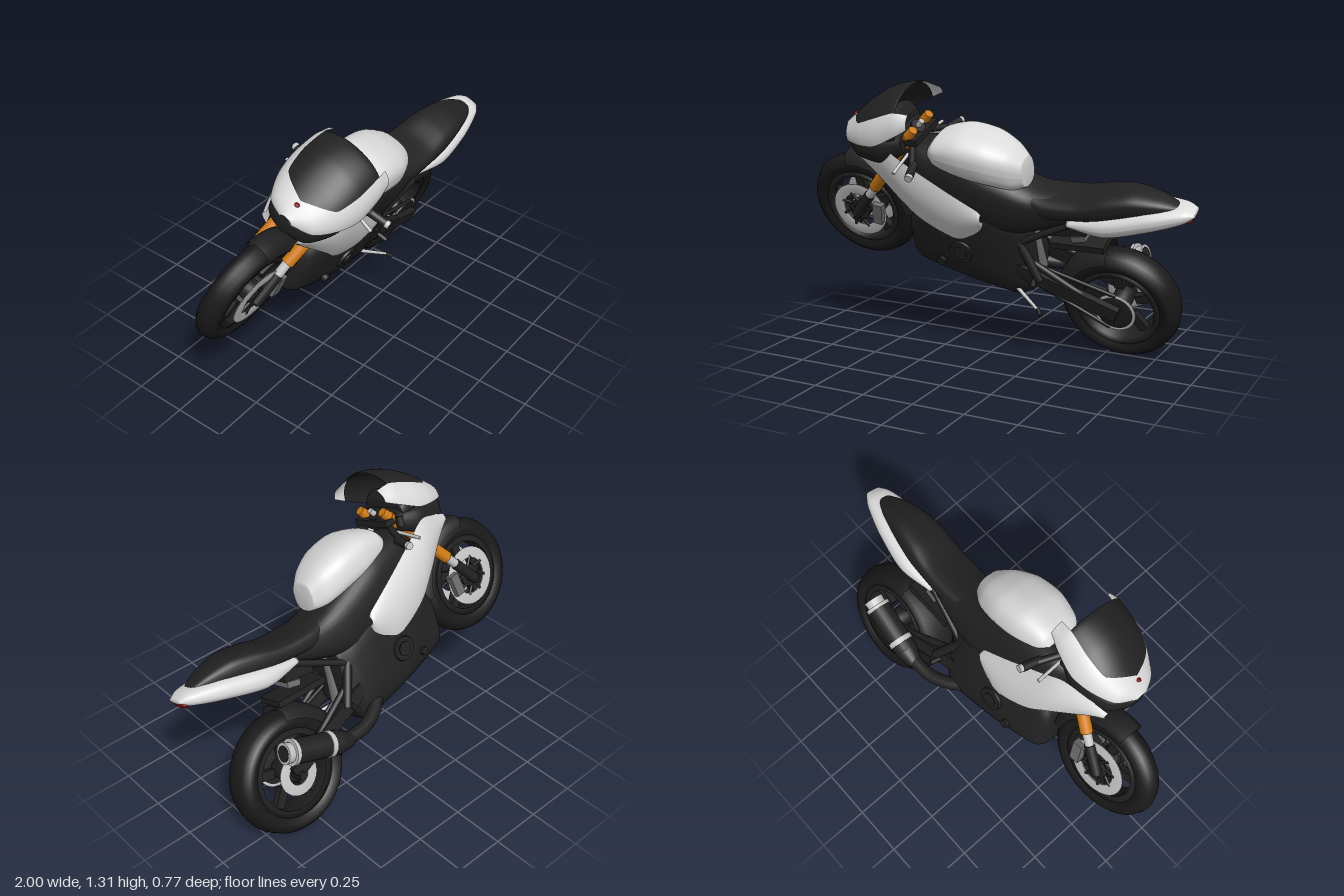
import * as THREE from 'three';

const mat = (name, color) => {
  const m = new THREE.MeshStandardMaterial({ color, side: THREE.DoubleSide });
  m.name = name;
  return m;
};

export function createModel() {
  const white = mat('pearl white', 0xdadada), black = mat('black plastic', 0x212121);
  const rubber = mat('tyre rubber', 0x191919), silver = mat('silver metal', 0xc4c4c4);
  const grey = mat('grey metal', 0x6c6c6c), orange = mat('orange anodised', 0xd07a12);
  const red = mat('red lens', 0x8c0808);

  // bike coordinates: -x forward, y up, z to the rider's left; leaned over at the end
  const bike = new THREE.Group();
  bike.name = 'leaningBike';
  const add = (name, geo, m, parent = bike) => {
    const mesh = new THREE.Mesh(geo, m);
    mesh.name = name;
    parent.add(mesh);
    return mesh;
  };
  const box = (name, size, at, turn, m) => {
    const mesh = add(name, new THREE.BoxGeometry(...size), m);
    mesh.position.set(...at);
    mesh.rotation.z = turn;
  };

  // grid surface from a point function
  function grid(nu, nv, fn) {
    const pos = [], idx = [];
    for (let i = 0; i <= nu; i++) for (let j = 0; j <= nv; j++) pos.push(...fn(i / nu, j / nv));
    for (let i = 0; i < nu; i++) for (let j = 0; j < nv; j++) {
      const a = i * (nv + 1) + j, b = a + nv + 1;
      idx.push(a, b, a + 1, b, b + 1, a + 1);
    }
    const g = new THREE.BufferGeometry();
    g.setAttribute('position', new THREE.Float32BufferAttribute(pos, 3));
    g.setIndex(idx);
    g.computeVertexNormals();
    return g;
  }

  // loft of rounded sections [x, low, high, halfWidth]; a0 and a1 give the part of the turn at t
  function loft(sections, { a0 = () => 0, a1 = () => 360, t0 = 0, t1 = 1, p = 0.7, cap = true, inset = 0, shift = 0 } = {}) {
    const c1 = new THREE.CatmullRomCurve3(sections.map(s => new THREE.Vector3(s[0], s[1], s[2])), false, 'catmullrom', 0.4);
    const c2 = new THREE.CatmullRomCurve3(sections.map(s => new THREE.Vector3(s[0], s[3], 0)), false, 'catmullrom', 0.4);
    const pw = v => Math.sign(v) * Math.abs(v) ** p;
    const n = 40;
    return grid(n, 36, (u, v) => {
      const i = Math.round(u * n);
      const k = cap ? THREE.MathUtils.clamp((i - 1) / (n - 2), 0, 1) : u;
      const t = t0 + (t1 - t0) * k, A = c1.getPoint(t), w = c2.getPoint(t).y;
      const f = cap && (i === 0 || i === n) ? 0 : 1;
      const a = THREE.MathUtils.degToRad(a0(t) + (a1(t) - a0(t)) * v);
      return [A.x, (A.y + A.z) / 2 + f * ((A.z - A.y) / 2 - inset) * pw(Math.sin(a)),
        shift + f * (w - inset) * pw(Math.cos(a))];
    });
  }

  // lathe about the wheel axis; profile points are [radius, side]
  function spin(points, from = 0, to = 360) {
    return new THREE.LatheGeometry(points.map(q => new THREE.Vector2(q[0], q[1])), 64,
      THREE.MathUtils.degToRad(from + 90), THREE.MathUtils.degToRad(to - from)).rotateX(Math.PI / 2);
  }
  const ring = (r0, r1, z, h) => spin([[r0, z - h], [r1, z - h], [r1, z + h], [r0, z + h], [r0, z - h]]);

  // tapered rod between two points
  function rod(name, a, b, r, m, r2 = r, parent = bike) {
    const A = new THREE.Vector3(...a), B = new THREE.Vector3(...b), d = B.clone().sub(A);
    const mesh = add(name, new THREE.CylinderGeometry(r2, r, d.length(), 20), m, parent);
    mesh.position.copy(A).add(B).multiplyScalar(0.5);
    mesh.quaternion.setFromUnitVectors(new THREE.Vector3(0, 1, 0), d.normalize());
  }

  // wheels
  function wheel(name, x, y, z, R, w) {
    const g = new THREE.Group();
    g.name = name;
    g.position.set(x, y, z);
    bike.add(g);
    add('tyre', spin([[R - 0.085, -w * 0.8], [R - 0.06, -w], [R - 0.035, -w * 0.95], [R - 0.012, -w * 0.6], [R, 0],
      [R - 0.012, w * 0.6], [R - 0.035, w * 0.95], [R - 0.06, w], [R - 0.085, w * 0.8]]), rubber, g);
    add('rim', ring(R - 0.115, R - 0.08, 0, w * 0.75), black, g);
    add('hub', ring(0.012, 0.05, 0, w * 0.7), black, g);
    for (let i = 0; i < 5; i++) {
      const s = add('spoke', new THREE.BoxGeometry(R - 0.13, 0.045, 0.035).translate((R + 0.03) / 2, 0, 0), black, g);
      s.rotation.z = i * Math.PI * 0.4 + 0.3;
    }
    return g;
  }
  const front = wheel('frontWheel', -0.715, 0.72, 0, 0.285, 0.056);
  const rear = wheel('rearWheel', 0.585, 0.298, -0.018, 0.293, 0.083);

  // brake discs, carriers and sprocket
  for (const z of [-0.068, 0.068]) {
    add('frontBrakeDisc', ring(0.09, 0.145, z, 0.004), silver, front);
    add('discCarrier', ring(0.03, 0.055, z, 0.006), black, front);
    for (let i = 0; i < 8; i++) {
      const a = i * Math.PI / 4;
      rod('discArm', [0.05 * Math.cos(a), 0.05 * Math.sin(a), z], [0.1 * Math.cos(a + 0.3), 0.1 * Math.sin(a + 0.3), z], 0.008, black, 0.008, front);
    }
  }
  add('rearBrakeDisc', ring(0.05, 0.1, -0.088, 0.004), silver, rear);
  add('sprocket', ring(0.086, 0.1, 0.095, 0.004), silver, rear);
  add('sprocketCarrier', ring(0.02, 0.086, 0.095, 0.006), black, rear);
  rod('rearAxle', [0, 0, -0.13], [0, 0, 0.14], 0.02, black, 0.02, rear);
  rod('frontAxle', [0, 0, -0.1], [0, 0, 0.1], 0.016, black, 0.016, front);

  // mudguards
  const guard = (R, w) => [[R - 0.06, -w], [R - 0.02, -w * 0.9], [R, -w * 0.4], [R, w * 0.4], [R - 0.02, w * 0.9], [R - 0.06, w]];
  add('frontMudguard', spin(guard(0.308, 0.064), -3, 95), black).position.copy(front.position);
  add('rearMudguard', spin(guard(0.315, 0.09), 94, 168), black).position.copy(rear.position);
  box('mudguardPlate', [0.27, 0.03, 0.14], [0.425, 0.63, -0.01], 0, black);

  // forks, calipers, clip-on bars and levers
  const along = (t, z) => [-0.715 + 0.435 * t, 0.72 + 0.5 * t, z];
  for (const s of [-1, 1]) {
    const z = 0.08 * s, o = 0.02;
    rod('forkFoot', along(-0.04, z), along(0.2, z), 0.026, black);
    rod('forkSlider', along(0.17, z), along(0.32, z), 0.022, silver);
    rod('forkTube', along(0.3, z), along(0.93, z + o), 0.03, orange);
    rod('forkCap', along(0.92, z + o), along(1.0, z + o), 0.027, orange, 0.022);
    box('brakeCaliper', [0.05, 0.11, 0.04], [-0.6, 0.72, 0.08 * s], -0.2, grey);
    rod('clipOnBar', [-0.3, 1.13, 0.09 * s + o], [-0.255, 1.095, 0.19 * s + o], 0.016, black);
    rod('grip', [-0.255, 1.095, 0.17 * s + o], [-0.235, 1.085, 0.262 * s + o], 0.02, black);
    rod('barEnd', [-0.235, 1.085, 0.26 * s + o], [-0.231, 1.083, 0.28 * s + o], 0.018, silver);
    rod('lever', [-0.315, 1.11, 0.11 * s + o], [-0.325, 1.085, 0.25 * s + o], 0.008, silver);
    rod('reservoir', [-0.34, 1.13, 0.12 * s + o], [-0.34, 1.18, 0.12 * s + o], 0.02, black);
  }
  box('topYoke', [0.09, 0.03, 0.22], [-0.305, 1.165, 0.02], 0, black);
  rod('steeringStem', along(0.55, 0), along(0.96, 0.02), 0.035, black);
  rod('ignitionLock', along(0.95, 0.02), along(1.01, 0.02), 0.014, silver);

  // nose cowl: white shell with dark screen, lined in black (low edge is mirrored below the rim)
  const cowl = [[-0.67, 1.19, 1.21, 0.03], [-0.62, 1.175, 1.25, 0.12], [-0.52, 1.185, 1.325, 0.18],
    [-0.42, 1.2, 1.38, 0.205], [-0.31, 1.25, 1.405, 0.2], [-0.24, 1.285, 1.37, 0.185]]
    .map(([x, b, h, w]) => [x, 2 * b - h, h, w]);
  const arc = (a0, a1, t0, t1, inset = 0) => loft(cowl, { a0, a1, t0, t1, inset, cap: false, p: 0.95, shift: 0.032 });
  const rim = t => 40 + 50 * THREE.MathUtils.clamp(1 - (t - 0.25) / 0.16, 0, 1) ** 2;
  add('cowlLeft', arc(() => 0, rim, 0, 1), white);
  add('cowlRight', arc(t => 180 - rim(t), () => 180, 0, 1), white);
  add('windscreen', arc(rim, t => 180 - rim(t), 0.25, 0.83), black);
  add('cowlLining', arc(() => 0, () => 180, 0.1, 0.82, 0.008), black);
  add('headlight', loft([[-0.665, 1.12, 1.19, 0.04], [-0.6, 1.06, 1.19, 0.12], [-0.45, 1.045, 1.21, 0.165],
    [-0.33, 1.1, 1.21, 0.14]], { shift: 0.025 }), black);
  add('dashboard', loft([[-0.5, 1.12, 1.25, 0.13], [-0.4, 1.12, 1.29, 0.14], [-0.36, 1.14, 1.24, 0.13]], { shift: 0.025 }), black);
  const marker = add('noseMarker', new THREE.SphereGeometry(0.012, 16, 10), red);
  marker.position.set(-0.617, 1.253, 0.032);
  marker.scale.y = 0.5;

  // frame cover, lower fairing, tank, seat and tail
  add('frameCover', loft([[-0.4, 0.96, 1.09, 0.06], [-0.3, 0.8, 1.12, 0.13], [-0.1, 0.74, 1.09, 0.155],
    [0.1, 0.68, 0.99, 0.148], [0.25, 0.71, 0.92, 0.13], [0.45, 0.78, 0.89, 0.1]]), black);
  add('lowerFairing', loft([[-0.44, 0.5, 0.57, 0.05], [-0.4, 0.475, 0.77, 0.11], [-0.2, 0.415, 0.93, 0.15],
    [0, 0.36, 0.9, 0.152], [0.13, 0.335, 0.82, 0.135], [0.21, 0.45, 0.76, 0.1]], { p: 0.55 }), black);
  add('fuelTank', loft([[-0.235, 1.06, 1.125, 0.09], [-0.19, 1.02, 1.17, 0.125], [-0.07, 0.98, 1.195, 0.152],
    [0.06, 0.95, 1.17, 0.148], [0.16, 0.92, 1.12, 0.113], [0.225, 0.93, 1.06, 0.065]], { p: 0.75, shift: 0.012 }), white);
  add('seat', loft([[0.15, 0.8, 0.95, 0.09], [0.3, 0.79, 0.905, 0.125], [0.47, 0.8, 0.902, 0.125],
    [0.6, 0.8, 0.932, 0.118], [0.72, 0.82, 0.943, 0.1], [0.84, 0.84, 0.918, 0.07], [0.93, 0.85, 0.88, 0.03]]), black);
  add('tail', loft([[0.42, 0.765, 0.815, 0.118], [0.6, 0.73, 0.855, 0.145], [0.8, 0.77, 0.883, 0.118],
    [0.94, 0.81, 0.883, 0.075], [0.995, 0.843, 0.862, 0.04]], { p: 0.8 }), white);
  const lamp = add('tailLight', new THREE.SphereGeometry(1, 24, 12), red);
  lamp.scale.set(0.012, 0.026, 0.05);
  lamp.position.set(0.972, 0.828, 0);
  lamp.rotation.z = -0.75;
  box('underTray', [0.16, 0.08, 0.11], [0.4, 0.73, 0], 0.1, black);
  box('trayBracket', [0.07, 0.03, 0.11], [0.44, 0.675, 0], 0.2, grey);

  // side fairing panels, bulged between a low and a high edge
  const panel = [[-0.62, 1.03, 1.085, 0.1], [-0.5, 0.945, 1.125, 0.155], [-0.4, 0.865, 1.14, 0.19], [-0.3, 0.765, 1.075, 0.197],
    [-0.15, 0.68, 0.965, 0.192], [-0.05, 0.695, 0.89, 0.183], [0, 0.73, 0.85, 0.175], [0.015, 0.775, 0.825, 0.17]];
  const edge = k => new THREE.CatmullRomCurve3(panel.map(q => new THREE.Vector3(q[0], q[k], q[3])), false, 'catmullrom', 0.5);
  const low = edge(1), high = edge(2);
  for (const s of [-1, 1]) {
    add(s > 0 ? 'sideFairingLeft' : 'sideFairingRight', grid(32, 12, (u, v) => {
      const a = low.getPoint(u), b = high.getPoint(u);
      return [a.x, a.y + (b.y - a.y) * v, s * (a.z - 0.1 * (v - 0.6) ** 2)];
    }), white);
    // engine cover, swingarm, footrest and hanger
    rod('engineCover', [-0.13, 0.6, 0.13 * s], [-0.13, 0.6, 0.163 * s], 0.068, black, 0.058);
    rod('coverCap', [-0.13, 0.6, 0.15 * s], [-0.13, 0.6, 0.17 * s], 0.035, black);
    rod('bolt', [-0.25, 0.53, 0.13 * s], [-0.25, 0.53, 0.16 * s], 0.02, black);
    box('swingarm', [0.52, 0.07, 0.035], [0.37, 0.415, 0.115 * s], -0.4, black);
    rod('swingarmBrace', [0.14, 0.6, 0.1 * s], [0.5, 0.37, 0.115 * s], 0.016, black);
    rod('footrestHanger', [0.16, 0.66, 0.1 * s], [0.25, 0.47, 0.13 * s], 0.022, black);
    rod('footrest', [0.22, 0.47, 0.12 * s], [0.23, 0.46, 0.18 * s], 0.013, black);
    rod('subframeRail', [0.17, 0.66, 0.1 * s], [0.46, 0.79, 0.08 * s], 0.016, black);
  }
  rod('swingarmPivot', [0.14, 0.51, -0.13], [0.14, 0.51, 0.13], 0.04, black);
  rod('shockAbsorber', [0.2, 0.46, 0], [0.18, 0.72, 0], 0.035, grey);
  rod('chainTop', [0.14, 0.55, 0.08], [0.6, 0.395, 0.08], 0.01, black);
  rod('chainBottom', [0.12, 0.46, 0.08], [0.55, 0.21, 0.08], 0.01, black);
  rod('kickstand', [0.11, 0.4, 0.11], [0.26, 0.352, 0.21], 0.01, silver, 0.007);
  rod('kickstandFoot', [0.25, 0.355, 0.2], [0.275, 0.343, 0.23], 0.01, black);

  // exhaust on the right side
  const pipe = new THREE.CatmullRomCurve3([[0.02, 0.45, -0.08], [0.12, 0.39, -0.14], [0.22, 0.36, -0.17], [0.34, 0.36, -0.178]]
    .map(q => new THREE.Vector3(...q)));
  add('exhaustPipe', new THREE.TubeGeometry(pipe, 24, 0.032, 16), black);
  const can = t => [0.33 + 0.34 * t, 0.355 + 0.11 * t, -0.178];
  rod('silencerCone', can(-0.05), can(0.16), 0.035, black, 0.056);
  rod('silencer', can(0.16), can(0.88), 0.058, black);
  rod('silencerBand', can(0.28), can(0.35), 0.062, silver);
  rod('silencerRing', can(0.85), can(0.9), 0.062, silver);
  rod('silencerTip', can(0.9), can(1), 0.046, silver, 0.05);
  rod('silencerBore', can(0.96), can(1.004), 0.038, black);

  // lean the bike over to its left
  bike.rotation.x = 0.375;
  bike.position.set(0, -0.004, -0.309);
  const model = new THREE.Group();
  model.name = 'motorcycle';
  model.add(bike);
  return model;
}
